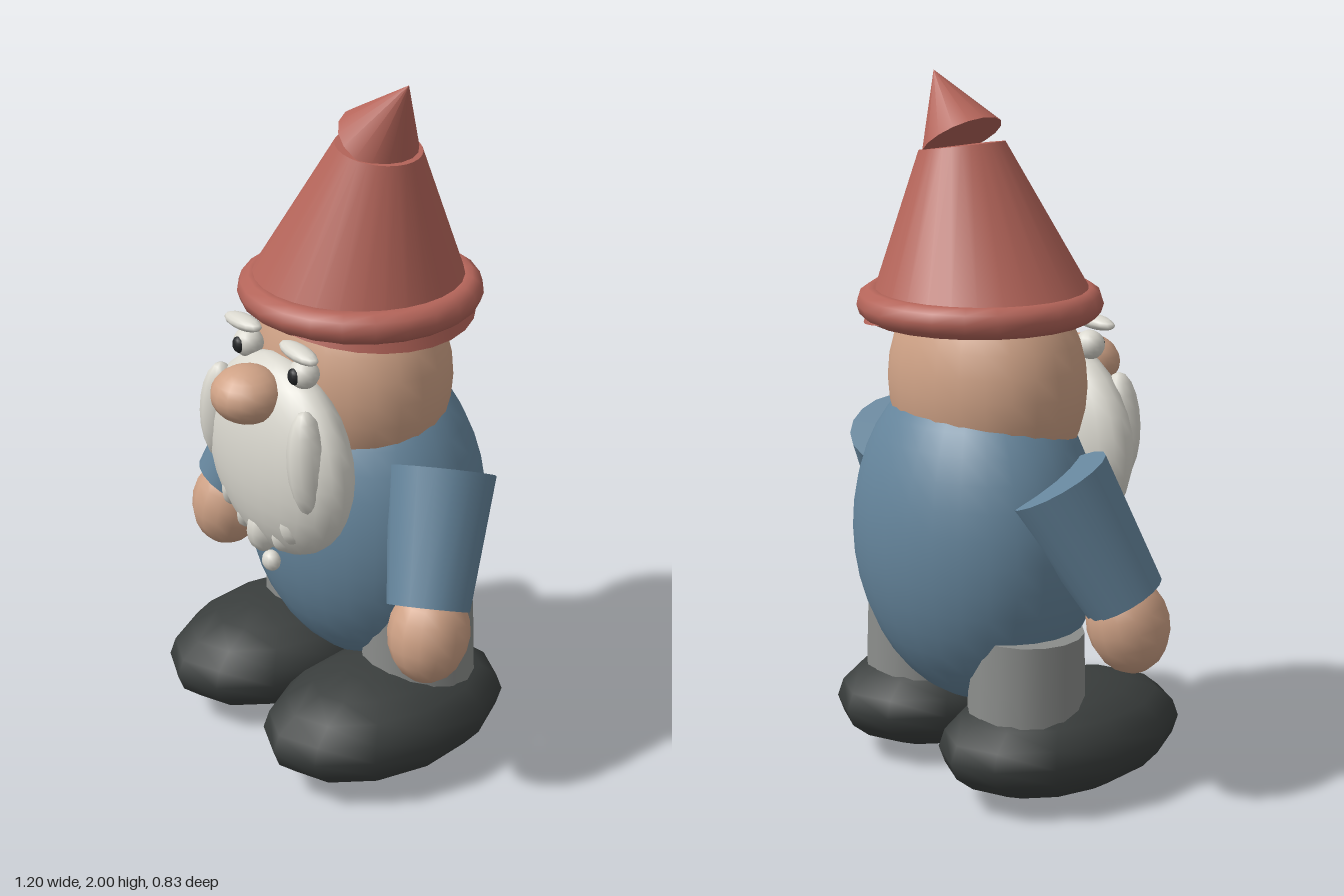
import * as THREE from 'three';

const mat = (color) => new THREE.MeshStandardMaterial({ color });

export function createModel() {
  const group = new THREE.Group();
  group.name = 'gnome';
  const red = mat(0xb5655a), skin = mat(0xcfa286), blue = mat(0x65859c), white = mat(0xdad8cf),
    dark = mat(0x3a3e3d), grey = mat(0x8b8d8b), black = mat(0x222426);

  const add = (name, geo, material, pos, rot = [0, 0, 0]) => {
    const m = new THREE.Mesh(geo, material);
    m.name = name;
    m.position.set(...pos);
    m.rotation.set(...rot);
    group.add(m);
    return m;
  };
  // Sphere stretched to three radii
  const blob = (name, material, pos, [rx, ry, rz], rot, w = 20, h = 14) =>
    add(name, new THREE.SphereGeometry(1, w, h).scale(rx, ry, rz), material, pos, rot);
  // Tapered cylinder running between two points
  const limb = (name, material, from, to, r0, r1, sides = 16) => {
    const a = new THREE.Vector3(...from), b = new THREE.Vector3(...to);
    const dir = b.clone().sub(a);
    const geo = new THREE.CylinderGeometry(r1, r0, dir.length(), sides);
    const m = add(name, geo, material, a.clone().add(b).multiplyScalar(0.5).toArray());
    m.quaternion.setFromUnitVectors(new THREE.Vector3(0, 1, 0), dir.normalize());
    return m;
  };

  // Trunk and head
  blob('body', blue, [0, 0.72, -0.09], [0.4, 0.49, 0.32], [0, 0, 0], 28, 20);
  blob('head', skin, [0, 1.15, -0.05], [0.315, 0.34, 0.255], [0, 0, 0], 24, 16);
  blob('nose', skin, [0, 1.155, 0.31], [0.104, 0.08, 0.103], [0, 0, 0], 16, 12);

  // Hat: leaning cone, bent tip and rolled brim
  limb('hat', red, [0, 1.355, -0.075], [0.07, 1.803, -0.08], 0.323, 0.12, 28);
  limb('hatTip', red, [0.073, 1.823, -0.078], [0.19, 2, -0.085], 0.118, 0, 16);
  add('hatBrim', new THREE.TorusGeometry(0.298, 0.045, 10, 24), red, [0, 1.38, -0.073], [Math.PI / 2, 0, 0]);

  // Beard with its middle lock and end bead
  blob('beard', white, [0, 0.945, 0.205], [0.303, 0.295, 0.13], [0, 0, 0], 24, 16);
  blob('beardMiddleLock', white, [0, 0.725, 0.265], [0.048, 0.07, 0.05], [0, 0, 0], 10, 8);
  blob('beardBead', white, [0, 0.612, 0.24], [0.031, 0.031, 0.026], [0, 0, 0], 12, 8);

  for (const s of [-1, 1]) {
    const side = s > 0 ? 'left' : 'right';
    // Face details
    blob(side + 'Eye', white, [s * 0.132, 1.238, 0.215], [0.045, 0.042, 0.042], [0, 0, 0], 14, 10);
    blob(side + 'Pupil', black, [s * 0.132, 1.238, 0.248], [0.022, 0.024, 0.016], [0, 0, 0], 12, 8);
    blob(side + 'Brow', white, [s * 0.132, 1.303, 0.232], [0.08, 0.021, 0.032], [0, 0, s * -0.05], 14, 8);
    // Beard locks
    blob(side + 'BeardSideLock', white, [s * 0.21, 1.01, 0.262], [0.055, 0.155, 0.06], [0, s * 0.35, s * 0.07], 10, 10);
    blob(side + 'BeardLock', white, [s * 0.14, 0.795, 0.27], [0.032, 0.055, 0.035], [0, 0, s * 0.25], 8, 8);
    blob(side + 'BeardLowerLock', white, [s * 0.085, 0.735, 0.26], [0.028, 0.045, 0.035], [0, 0, s * 0.2], 8, 8);
    // Arms
    limb(side + 'Sleeve', blue, [s * 0.355, 0.945, -0.09], [s * 0.478, 0.615, 0.05], 0.15, 0.115, 18);
    blob(side + 'Hand', skin, [s * 0.488, 0.545, 0.055], [0.115, 0.143, 0.115], [-0.2, 0, s * 0.1], 14, 10);
    // Legs and boots
    limb(side + 'Leg', grey, [s * 0.243, 0.15, -0.105], [s * 0.243, 0.49, -0.1], 0.168, 0.16, 16);
    blob(side + 'Boot', dark, [s * 0.247, 0.162, 0.02], [0.25, 0.16, 0.392], [0, 0, 0], 12, 10);
  }

  // Rest on the ground and centre the whole figure
  const box = new THREE.Box3().setFromObject(group, true);
  const c = box.getCenter(new THREE.Vector3());
  group.children.forEach((m) => m.position.sub(new THREE.Vector3(c.x, box.min.y, c.z)));
  return group;
}
